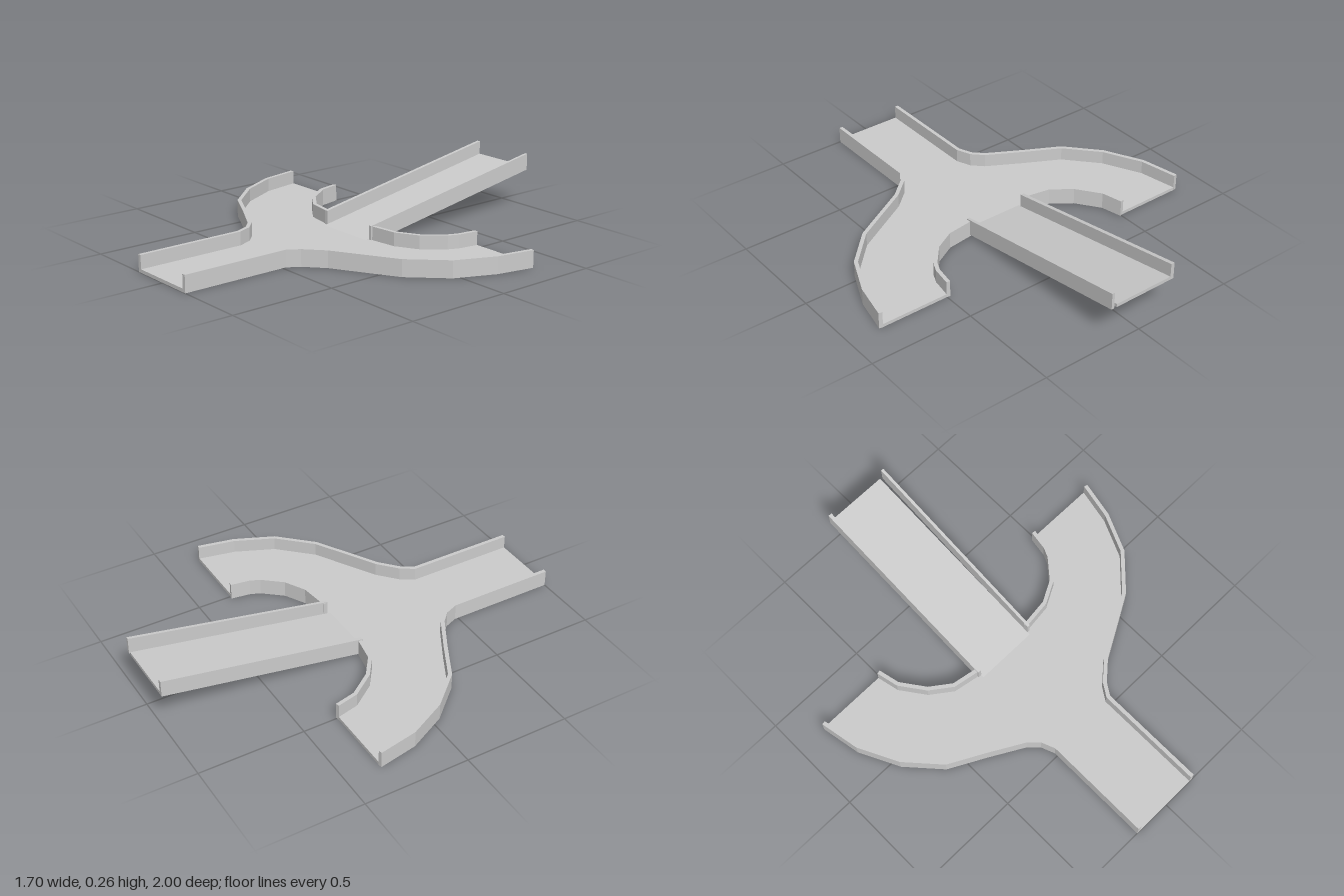
import * as THREE from 'three';

const WALL_H = 0.08, WALL_T = 0.018, FLOOR_T = 0.016, RAMP_RISE = 0.18;
const material = new THREE.MeshStandardMaterial({ color: 0xcccccc, flatShading: true });

// Plan outlines as [x, z], traced along the outer faces of the walls
const outerLeft = [[0.15, 1], [0.15, 0.477], [0.19, 0.415], [0.28, 0.335], [0.43, 0.25],
  [0.57, 0.17], [0.715, 0.02], [0.795, -0.16], [0.832, -0.335]];
const outerRight = [[-0.167, 1], [-0.167, 0.48], [-0.195, 0.41], [-0.245, 0.36], [-0.405, 0.27],
  [-0.575, 0.18], [-0.71, 0.03], [-0.8, -0.15], [-0.835, -0.335]];
const innerLeft = [[0.135, -0.02], [0.28, -0.038], [0.385, -0.095], [0.465, -0.19], [0.487, -0.24], [0.502, -0.335]];
const innerRight = [[-0.182, -0.02], [-0.305, -0.042], [-0.405, -0.115], [-0.488, -0.23], [-0.512, -0.335]];

function addMesh(group, name, geometry) {
  const mesh = new THREE.Mesh(geometry, material);
  mesh.name = name;
  group.add(mesh);
}

// Plan points extruded upward from the ground
function slab(points, height) {
  const shape = new THREE.Shape(points.map(([x, z]) => new THREE.Vector2(x, -z)));
  return new THREE.ExtrudeGeometry(shape, { depth: height, bevelEnabled: false }).rotateX(-Math.PI / 2);
}

// Mitred parallel copy of a plan path; side is +1 or -1
function offsetPath(path, distance, side) {
  const normal = (a, b) => new THREE.Vector2(b[1] - a[1], a[0] - b[0]).normalize();
  return path.map((p, i) => {
    const n1 = normal(path[Math.max(i - 1, 0)], path[Math.max(i, 1)]);
    const n2 = normal(path[Math.min(i, path.length - 2)], path[Math.min(i + 1, path.length - 1)]);
    const m = n1.clone().add(n2).normalize();
    const d = side * distance / m.dot(n1);
    return [p[0] + m.x * d, p[1] + m.y * d];
  });
}

function wall(path, side) {
  return slab([...path, ...offsetPath(path, WALL_T, side).reverse()], WALL_H);
}

// Sloping strip rising toward the back; drift moves its far end sideways
function slope(x0, x1, start, base, height, drift = 0) {
  const y = (d) => RAMP_RISE * d + base;
  const shape = new THREE.Shape([
    new THREE.Vector2(start, y(start)), new THREE.Vector2(1, y(1)),
    new THREE.Vector2(1, y(1) + height), new THREE.Vector2(start, y(start) + height),
  ]);
  const geometry = new THREE.ExtrudeGeometry(shape, { depth: x1 - x0, bevelEnabled: false })
    .rotateY(Math.PI / 2).translate(x0, 0, 0);
  const pos = geometry.attributes.position;
  for (let i = 0; i < pos.count; i++) pos.setX(i, pos.getX(i) - pos.getZ(i) * drift);
  geometry.computeVertexNormals();
  return geometry;
}

export function createModel() {
  const model = new THREE.Group();
  model.name = 'forkedTrack';

  // Flat floor of the stem and the two curved arms
  const inset = 0.003;
  addMesh(model, 'floor', slab([
    ...offsetPath(outerLeft, inset, -1),
    ...offsetPath(innerLeft, inset, 1).reverse(),
    ...offsetPath(innerRight, inset, -1),
    ...offsetPath(outerRight, inset, 1).reverse(),
  ], FLOOR_T));

  // Curved side walls
  addMesh(model, 'outerWallLeft', wall(outerLeft, -1));
  addMesh(model, 'outerWallRight', wall(outerRight, 1));
  addMesh(model, 'innerWallLeft', wall(innerLeft, 1));
  addMesh(model, 'innerWallRight', wall(innerRight, -1));

  // Rising centre branch
  addMesh(model, 'rampFloor', slope(-0.165, 0.134, 0, 0, FLOOR_T));
  addMesh(model, 'rampWallLeft', slope(0.135, 0.149, 0.015, 0, WALL_H, 0.013));
  addMesh(model, 'rampWallRight', slope(-0.182, -0.164, 0.015, 0, WALL_H));
  return model;
}
